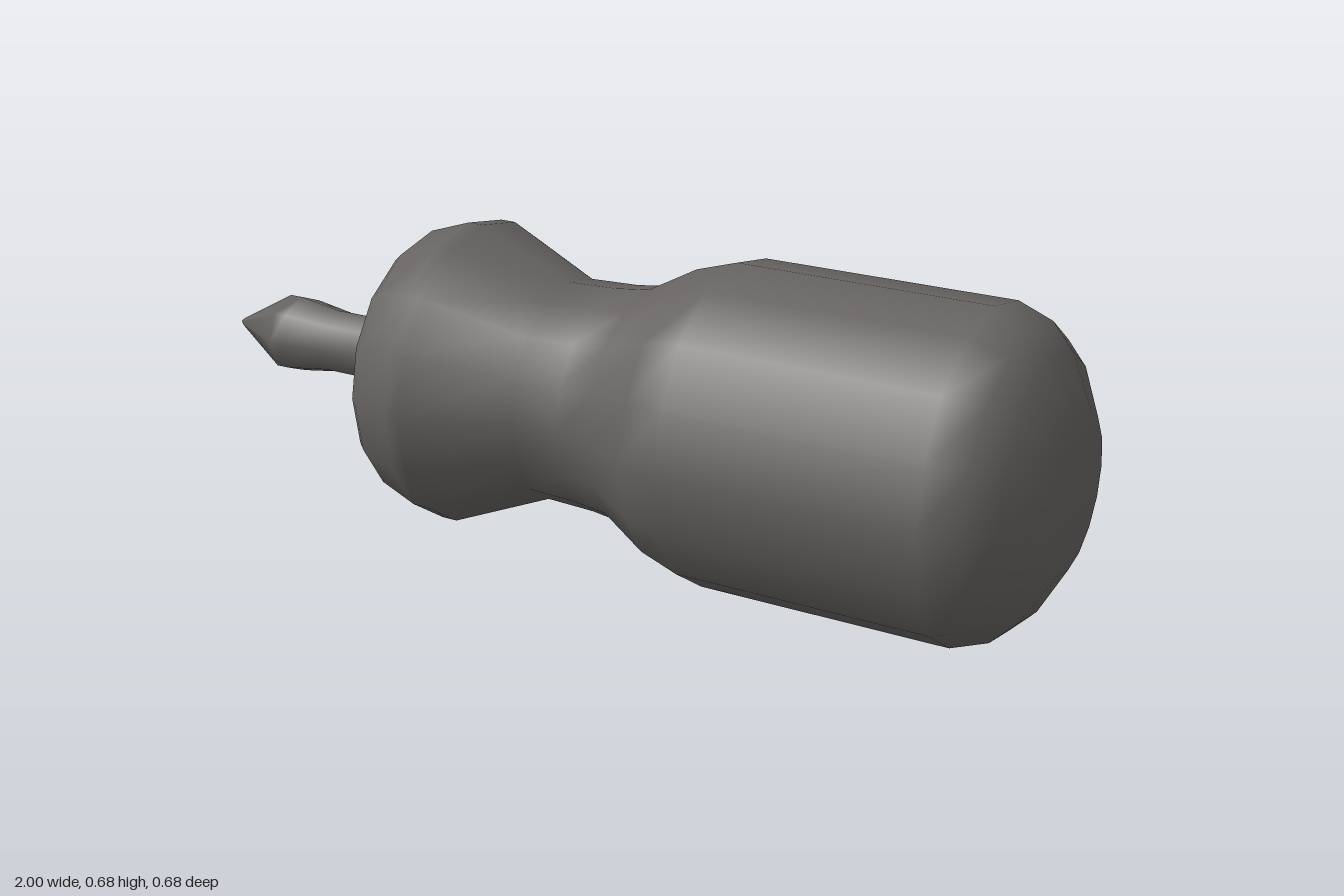
import * as THREE from 'three';

export function createModel() {
  const group = new THREE.Group();
  group.name = 'stubbyScrewdriver';
  const darkGrey = new THREE.MeshStandardMaterial({ color: 0x656260 });
  darkGrey.name = 'darkGrey';

  // Turned part along x, from [x, radius] pairs
  function turned(name, profile, sides) {
    const points = profile.map(([x, r]) => new THREE.Vector2(r, x));
    const geometry = new THREE.LatheGeometry(points, sides);
    geometry.rotateZ(-Math.PI / 2);
    const mesh = new THREE.Mesh(geometry, darkGrey);
    mesh.name = name;
    mesh.position.y = 0.341;
    group.add(mesh);
  }

  // Handle: collar, waist, grip and rounded end
  turned('handle', [
    [-0.475, 0.28], [-0.455, 0.298], [-0.36, 0.33], [-0.325, 0.33],
    [-0.11, 0.238], [0, 0.242], [0.08, 0.252], [0.19, 0.313], [0.28, 0.341],
    [0.82, 0.341], [0.895, 0.313], [0.945, 0.262], [1, 0.16], [1, 0],
  ], 16);

  // Flat face where the shaft enters
  turned('collarFace', [[-0.475, 0], [-0.475, 0.28]], 16);

  // Shaft with a flared, pointed tip and a small foot
  turned('shaft', [
    [-1, 0], [-0.99, 0.009], [-0.85, 0.088], [-0.82, 0.088], [-0.72, 0.073],
    [-0.495, 0.073], [-0.472, 0.094],
  ], 8);

  return group;
}
